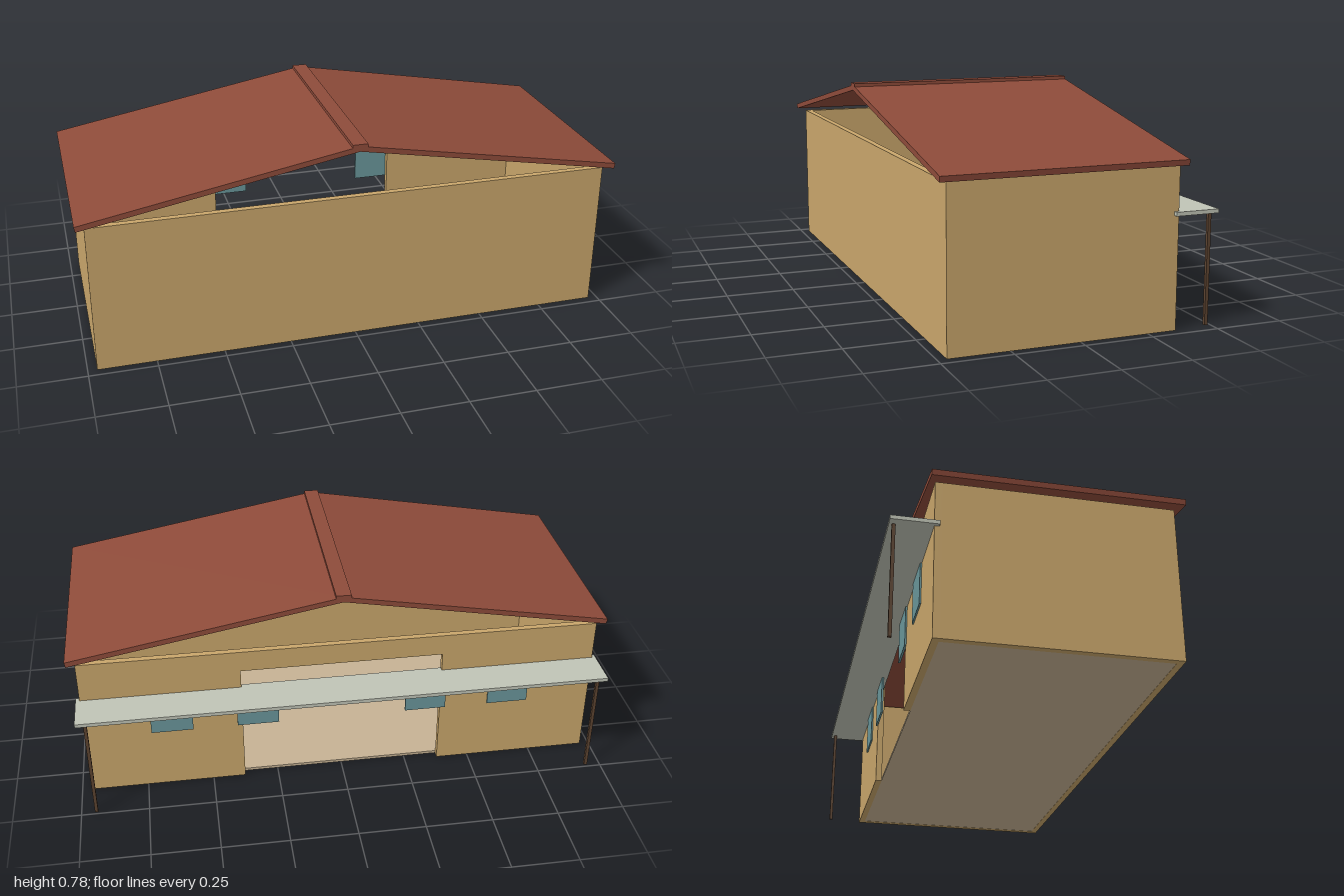
import * as THREE from 'three';

const mat = (name, color, side = THREE.FrontSide) => {
  const m = new THREE.MeshStandardMaterial({ color, side });
  m.name = name;
  return m;
};

export function createModel() {
  const model = new THREE.Group();
  model.name = 'house';

  const wallMat = mat('ochre wall', 0xc9a66b);
  const roofMat = mat('red brown roof', 0x8e4b3a);
  const canopyMat = mat('pale grey canopy', 0xc0c4b6);
  const floorMat = mat('beige floor', 0xc6b294);
  const glassMat = mat('teal glass', 0x6a969a);
  const postMat = mat('dark timber', 0x5c4330);

  const add = (name, geometry, material) => {
    const mesh = new THREE.Mesh(geometry, material);
    mesh.name = name;
    model.add(mesh);
    return mesh;
  };
  // Box given by its minimum and maximum on each axis
  const box = (name, [x0, x1], [y0, y1], [z0, z1], material) =>
    add(name, new THREE.BoxGeometry(x1 - x0, y1 - y0, z1 - z0), material)
      .position.set((x0 + x1) / 2, (y0 + y1) / 2, (z0 + z1) / 2);
  // Outline in x and y, extruded from z0 to z1
  const extrude = (name, points, z0, z1, material) => {
    const shape = new THREE.Shape(points.map(([x, y]) => new THREE.Vector2(x, y)));
    const geometry = new THREE.ExtrudeGeometry(shape, { depth: z1 - z0, bevelEnabled: false });
    add(name, geometry, material).position.z = z0;
  };

  // Shell dimensions
  const W = 0.966, H = 0.567, T = 0.024, BACK = -0.355, FRONT = 0.468;
  const DOOR = 0.378, DOOR_H = 0.485;

  // Walls and floor
  box('frontWall', [-W, W], [0, H], [FRONT - T, FRONT], wallMat);
  box('leftWall', [W - T, W], [0, H], [BACK + T, FRONT - T], wallMat);
  box('rightWall', [-W, -W + T], [0, H], [BACK + T, FRONT - T], wallMat);
  extrude('backWall', [
    [-W, 0], [-DOOR, 0], [-DOOR, DOOR_H], [DOOR, DOOR_H],
    [DOOR, 0], [W, 0], [W, H], [-W, H],
  ], BACK, BACK + T, wallMat);
  box('floor', [-W + T, W - T], [0.001, 0.012], [BACK + T, FRONT - T], floorMat);

  // Low gabled roof, open at the ends, with a flat ridge cap
  extrude('roof', [
    [-0.9965, 0.573], [0, 0.755], [0.9965, 0.573],
    [1, 0.593], [0, 0.775], [-1, 0.593],
  ], -0.372, 0.5, roofMat);
  box('ridgeCap', [-0.028, 0.028], [0.762, 0.782], [-0.372, 0.5], roofMat);

  // Rear canopy on two posts
  box('canopy', [-0.98, 0.98], [0.4, 0.414], [-0.5, -0.338], canopyMat);
  for (const side of [-1, 1]) {
    const x = side * 0.945;
    box('canopyPost', [x - 0.006, x + 0.006], [0, 0.4], [-0.49, -0.478], postMat);
    // Rear window panes
    for (const c of [0.32, 0.642]) {
      const wx = side * c;
      box('window', [wx - 0.078, wx + 0.078], [0.245, 0.41], [-0.361, -0.353], glassMat);
    }
  }
  return model;
}
